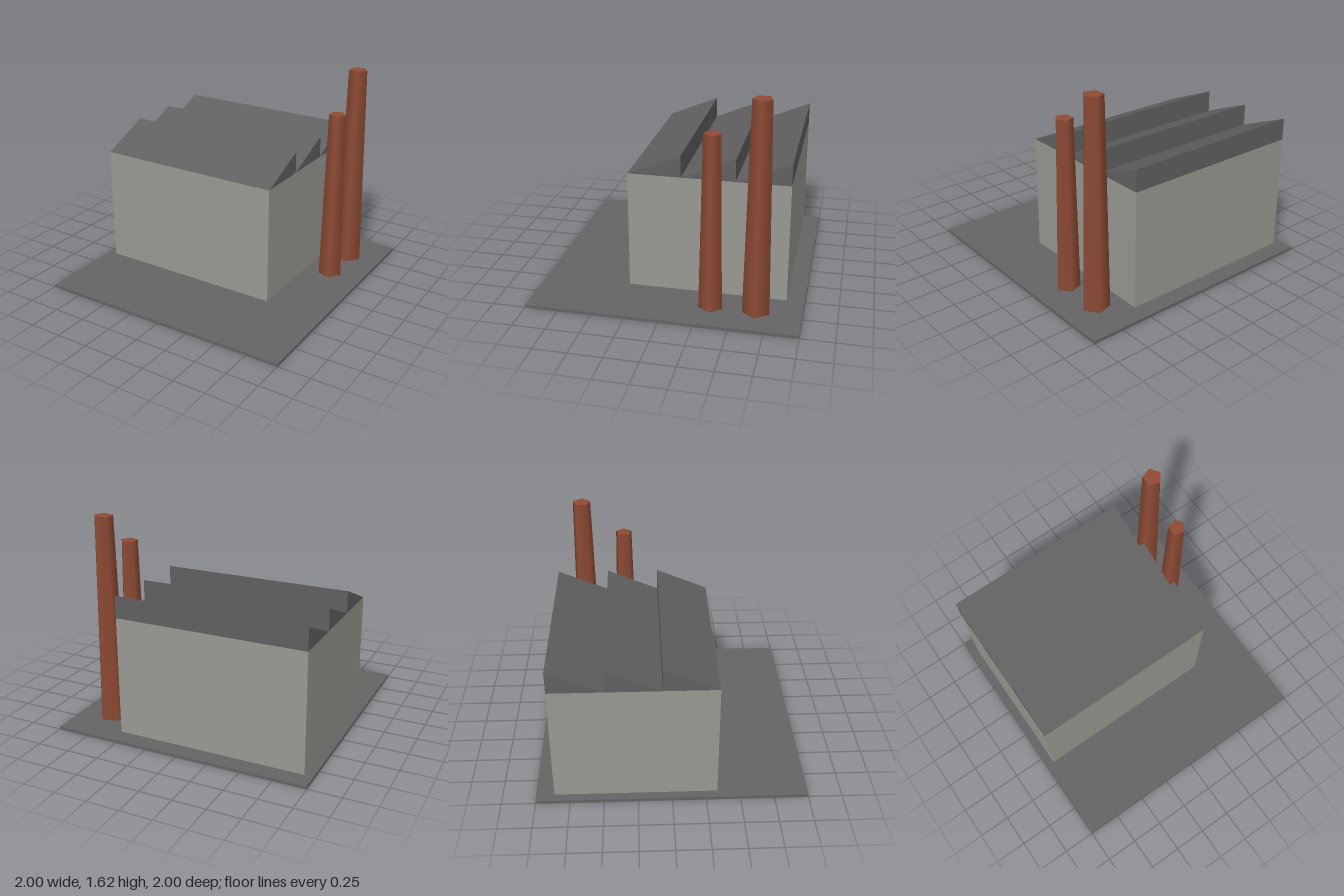
import * as THREE from 'three';

const flat = (name, color) => {
  const material = new THREE.MeshStandardMaterial({ color });
  material.name = name;
  return material;
};

export function createModel() {
  const model = new THREE.Group();
  model.name = 'factory';

  const ground = flat('groundGrey', 0x646464);
  const wall = flat('wallGrey', 0x999992);
  const roof = flat('roofGrey', 0x606060);
  const brick = flat('brickRed', 0x8f4b35);

  const add = (name, geometry, material, x, y, z) => {
    const mesh = new THREE.Mesh(geometry, material);
    mesh.name = name;
    mesh.position.set(x, y, z);
    model.add(mesh);
  };

  const baseTop = 0.02, wallTop = 0.93, roofRise = 0.17;
  const width = 1.467, depth = 1.2, hallX = -0.2, hallZ = -0.267;

  // Ground slab
  add('groundSlab', new THREE.BoxGeometry(2, baseTop, 2), ground, 0, baseTop / 2, 0);

  // Main hall
  const wallHeight = wallTop - baseTop;
  add('hallWalls', new THREE.BoxGeometry(width, wallHeight, depth), wall,
    hallX, baseTop + wallHeight / 2, hallZ);

  // Sawtooth roof: each tooth rises towards the back, then drops straight down
  const pitch = depth / 3;
  const profile = new THREE.Shape([
    new THREE.Vector2(0, 0),
    new THREE.Vector2(-pitch, roofRise),
    new THREE.Vector2(-pitch, 0),
  ]);
  const tooth = new THREE.ExtrudeGeometry(profile, { depth: width, bevelEnabled: false });
  tooth.rotateY(-Math.PI / 2);
  for (let i = 0; i < 3; i++) {
    add(`roofTooth${i + 1}`, tooth, roof, hallX + width / 2, wallTop, hallZ + depth / 2 - i * pitch);
  }

  // Five-sided tapering chimneys, one corner towards +x
  const chimney = (name, z, top, rTop, rBottom) => {
    const height = top - baseTop;
    add(name, new THREE.CylinderGeometry(rTop, rBottom, height, 5, 1, false, Math.PI / 2),
      brick, 0.733, baseTop + height / 2, z);
  };
  chimney('shortChimney', -0.333, 1.355, 0.066, 0.092);
  chimney('tallChimney', -0.667, 1.62, 0.073, 0.105);

  return model;
}
